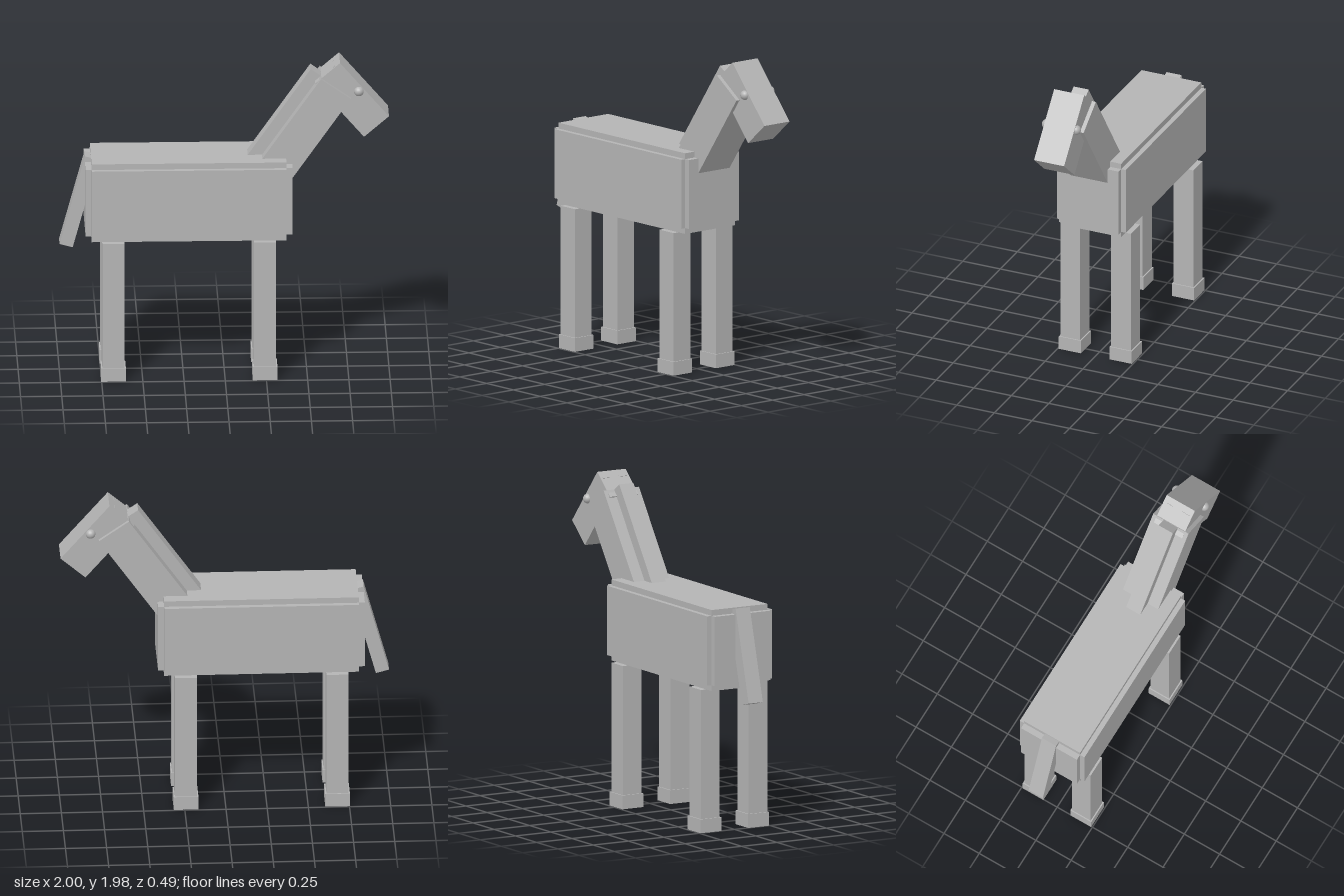
import * as THREE from 'three';

const grey = new THREE.MeshStandardMaterial({ color: 0xb4b4b4 });
grey.name = 'grey';

export function createModel() {
  const model = new THREE.Group();
  model.name = 'toyHorse';

  const add = (name, geometry, x, y, z) => {
    const mesh = new THREE.Mesh(geometry, grey);
    mesh.name = name;
    mesh.position.set(x, y, z);
    model.add(mesh);
    return mesh;
  };
  const box = (name, w, h, d, x, y, z) => add(name, new THREE.BoxGeometry(w, h, d), x, y, z);

  // Slanted bar in the side plane, running between two centreline points
  const bar = (name, [x0, y0], [x1, y1], width, depth, z = 0) => {
    const length = Math.hypot(x1 - x0, y1 - y0);
    const mesh = box(name, length, width, depth, (x0 + x1) / 2, (y0 + y1) / 2, z);
    mesh.rotation.z = Math.atan2(y1 - y0, x1 - x0);
    return mesh;
  };

  // Body: three crossed boxes give the stepped edges
  const bx = -0.218, by = 1.132;
  box('bodyLength', 1.256, 0.428, 0.396, bx, by, 0);
  box('bodyHeight', 1.182, 0.5, 0.396, bx, by, 0);
  box('bodyWidth', 1.182, 0.428, 0.458, bx, by, 0);

  // Legs and hooves
  for (const [end, x] of [['front', 0.242], ['back', -0.678]]) {
    for (const z of [-0.169, 0.169]) {
      box(end + 'Leg', 0.135, 0.84, 0.132, x, 0.462, z);
      box(end + 'Hoof', 0.15, 0.085, 0.148, x, 0.0425, z);
    }
  }

  // Neck, mane, head and tail
  bar('neck', [0.273, 1.252], [0.675, 1.825], 0.222, 0.25);
  bar('mane', [0.142, 1.318], [0.555, 1.908], 0.074, 0.1);
  bar('head', [0.625, 1.918], [0.922, 1.573], 0.2, 0.2);
  bar('tail', [-0.806, 1.372], [-0.96, 0.81], 0.083, 0.1);

  // Eyes and the small ear ridges on the crown
  for (const z of [-1, 1]) {
    add('eye', new THREE.SphereGeometry(0.03, 16, 12), 0.815, 1.8, z * 0.098);
    bar('ear', [0.661, 1.953], [0.675, 1.937], 0.01, 0.055, z * 0.057);
  }
  return model;
}
